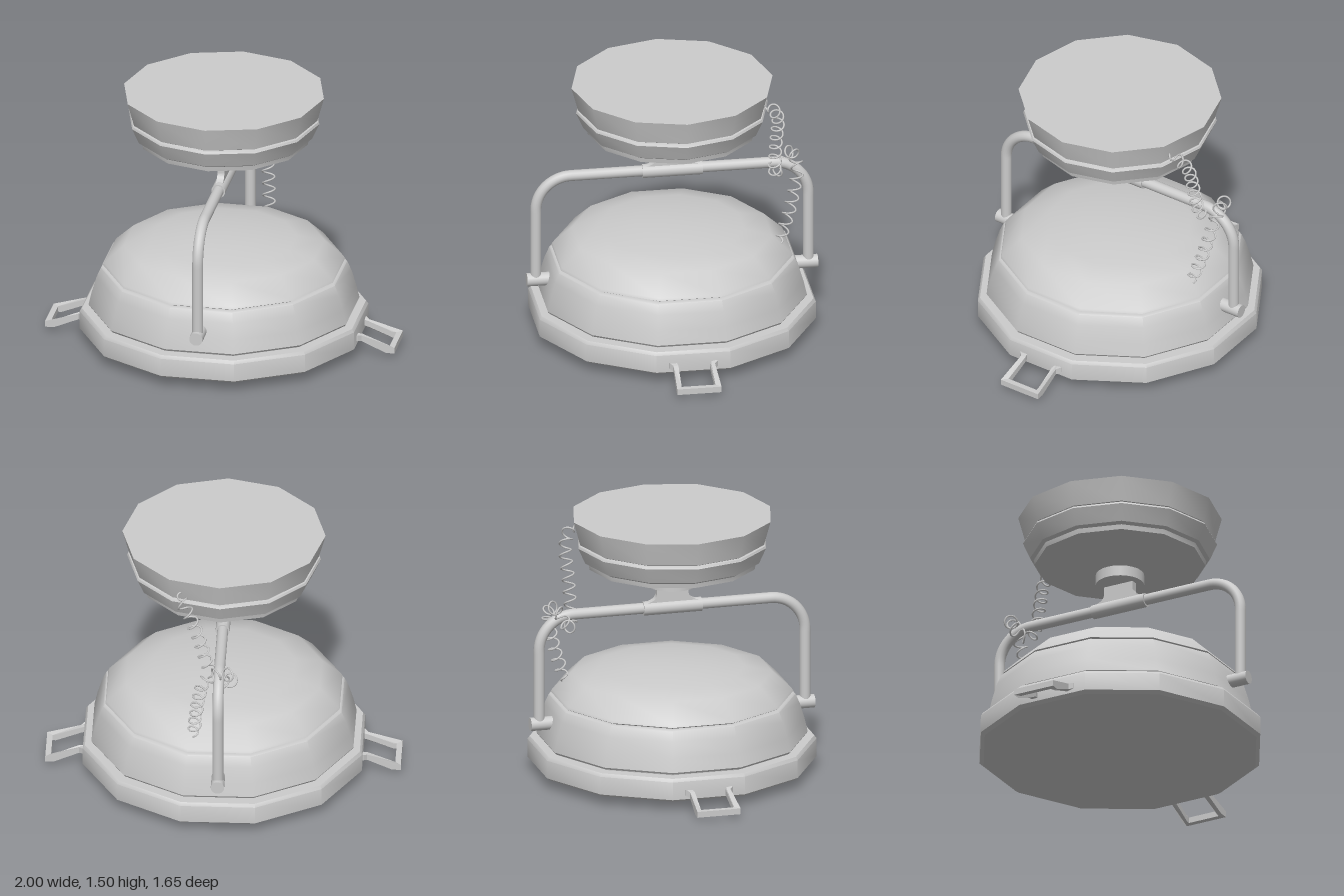
import * as THREE from 'three';
import { toCreasedNormals } from 'three/addons/utils/BufferGeometryUtils.js';

const material = new THREE.MeshStandardMaterial({ color: 0xcccccc, side: THREE.DoubleSide });
const v3 = (x, y, z) => new THREE.Vector3(x, y, z);

function add(parent, name, geometry) {
  const mesh = new THREE.Mesh(geometry, material);
  mesh.name = name;
  parent.add(mesh);
  return mesh;
}

// Twelve-sided turned body, smooth around and sharp at the profile corners
function turned(profile, turn = 0) {
  const points = profile.map(([r, y]) => new THREE.Vector2(r, y));
  return toCreasedNormals(new THREE.LatheGeometry(points, 12).rotateY(turn), 0.62);
}

// Yoke pipe: two posts, rounded elbows and the crossbar
function yokePath() {
  const y = 0.955, z = 0.775, r = 0.2, k = 0.09;
  const path = new THREE.CurvePath();
  path.add(new THREE.LineCurve3(v3(0, 0.325, z), v3(0, y - r, z)));
  path.add(new THREE.CubicBezierCurve3(v3(0, y - r, z), v3(0, y - k, z), v3(0, y, z - k), v3(0, y, z - r)));
  path.add(new THREE.LineCurve3(v3(0, y, z - r), v3(0, y, r - z)));
  path.add(new THREE.CubicBezierCurve3(v3(0, y, r - z), v3(0, y, k - z), v3(0, y - k, -z), v3(0, y - r, -z)));
  path.add(new THREE.LineCurve3(v3(0, y - r, -z), v3(0, 0.325, -z)));
  return path;
}

// Web between the neck and the sleeve, flared at the foot
function bracketGeometry() {
  const s = new THREE.Shape();
  s.moveTo(-0.165, 0.95);
  s.lineTo(0.165, 0.95);
  s.lineTo(0.165, 0.985);
  s.quadraticCurveTo(0.1, 0.99, 0.092, 1.03);
  s.lineTo(0.092, 1.1);
  s.lineTo(-0.092, 1.1);
  s.lineTo(-0.092, 1.03);
  s.quadraticCurveTo(-0.1, 0.99, -0.165, 0.985);
  const g = new THREE.ExtrudeGeometry(s, { depth: 0.04, bevelEnabled: false });
  return g.translate(0, 0, -0.02).rotateY(Math.PI / 2);
}

// Flat loop with flared roots, then bent down along its length
function handleGeometry() {
  const half = [[0.76, 0.142], [0.79, 0.138], [0.81, 0.118], [0.95, 0.124], [1, 0.126]];
  const inner = [[0.76, 0.1], [0.81, 0.09], [0.95, 0.095], [0.968, 0.096]];
  const mirror = pts => [...pts, ...pts.map(([x, z]) => [x, -z]).reverse()]
    .map(([x, z]) => new THREE.Vector2(x, z));
  const outline = new THREE.Shape([...mirror(half), ...mirror(inner).reverse()]);
  const g = new THREE.ExtrudeGeometry(outline, { depth: 0.034, bevelEnabled: false });
  g.rotateX(-Math.PI / 2);
  const p = g.attributes.position;
  for (let i = 0; i < p.count; i++) {
    const t = Math.min(1, Math.max(0, (p.getX(i) - 0.79) / 0.16));
    p.setY(i, p.getY(i) + 0.09 - 0.066 * t);
  }
  g.computeVertexNormals();
  return g;
}

// Springy cord: a coil wound around a spine that loops over the rear elbow
function cordGeometry() {
  const spine = new THREE.CatmullRomCurve3([
    v3(0.22, 1.4, -0.47), v3(0.22, 1.39, -0.53), v3(0.17, 1.31, -0.575), v3(0.11, 1.14, -0.575),
    v3(0.06, 0.97, -0.575), v3(0, 0.89, -0.59), v3(-0.06, 0.91, -0.63), v3(-0.06, 0.98, -0.67),
    v3(0.01, 1.0, -0.69), v3(0.08, 0.95, -0.7), v3(0.11, 0.84, -0.68), v3(0.13, 0.7, -0.645),
    v3(0.14, 0.58, -0.605), v3(0.14, 0.5, -0.59)]);
  const steps = 420, turns = 21;
  const frames = spine.computeFrenetFrames(steps, false);
  const points = [];
  for (let i = 0; i <= steps; i++) {
    const t = i / steps, a = t * turns * Math.PI * 2;
    const r = 0.034 * Math.min(1, t * 20, (1 - t) * 20);
    points.push(spine.getPointAt(t)
      .addScaledVector(frames.normals[i], r * Math.cos(a))
      .addScaledVector(frames.binormals[i], r * Math.sin(a)));
  }
  return new THREE.TubeGeometry(new THREE.CatmullRomCurve3(points), 1000, 0.0055, 5);
}

export function createModel() {
  const model = new THREE.Group();
  model.name = 'ceilingLamp';

  // Lamp head
  const head = new THREE.Group();
  head.name = 'lampHead';
  model.add(head);
  const turn = Math.PI / 12;
  add(head, 'lens', turned([[0, 0], [0.4, 0.02], [0.785, 0.052]], turn));
  add(head, 'rim', turned([[0.76, 0.052], [0.79, 0.052], [0.813, 0.068], [0.813, 0.172],
    [0.8, 0.19], [0.735, 0.19], [0.735, 0.203]], turn));
  add(head, 'shade', turned([[0.73, 0.2], [0.755, 0.2], [0.763, 0.212], [0.745, 0.29],
    [0.718, 0.38], [0.694, 0.435], [0.685, 0.441], [0.66, 0.441]], turn));
  add(head, 'dome', turned([[0.66, 0.441], [0.682, 0.452], [0.675, 0.465], [0.565, 0.568],
    [0.41, 0.602], [0.22, 0.627], [0, 0.635]], turn));

  // Side handles
  for (const side of [1, -1]) {
    const handle = add(head, side > 0 ? 'leftHandle' : 'rightHandle', handleGeometry());
    if (side < 0) handle.rotation.y = Math.PI;
  }

  // Yoke with its pivots
  const yoke = new THREE.Group();
  yoke.name = 'yoke';
  model.add(yoke);
  add(yoke, 'yokePipe', new THREE.TubeGeometry(yokePath(), 120, 0.031, 16));
  for (const side of [1, -1]) {
    const pivot = add(yoke, side > 0 ? 'frontPivot' : 'rearPivot',
      new THREE.CylinderGeometry(0.038, 0.038, 0.14, 20).rotateX(Math.PI / 2));
    pivot.position.set(0, 0.325, side * 0.757);
  }
  const sleeve = add(yoke, 'sleeve', new THREE.CylinderGeometry(0.04, 0.04, 0.34, 20).rotateX(Math.PI / 2));
  sleeve.position.y = 0.953;
  add(yoke, 'bracket', bracketGeometry());

  // Ceiling mount
  const mount = new THREE.Group();
  mount.name = 'ceilingMount';
  model.add(mount);
  add(mount, 'neck', new THREE.CylinderGeometry(0.137, 0.137, 0.08, 24)).position.y = 1.121;
  add(mount, 'mountBody', turned([[0, 1.14], [0.135, 1.142], [0.48, 1.208], [0.485, 1.235], [0.506, 1.247],
    [0.546, 1.338], [0.54, 1.35], [0.525, 1.353], [0.535, 1.358], [0.572, 1.495], [0, 1.495]]));

  // Power cord
  add(model, 'coiledCord', cordGeometry());
  return model;
}
